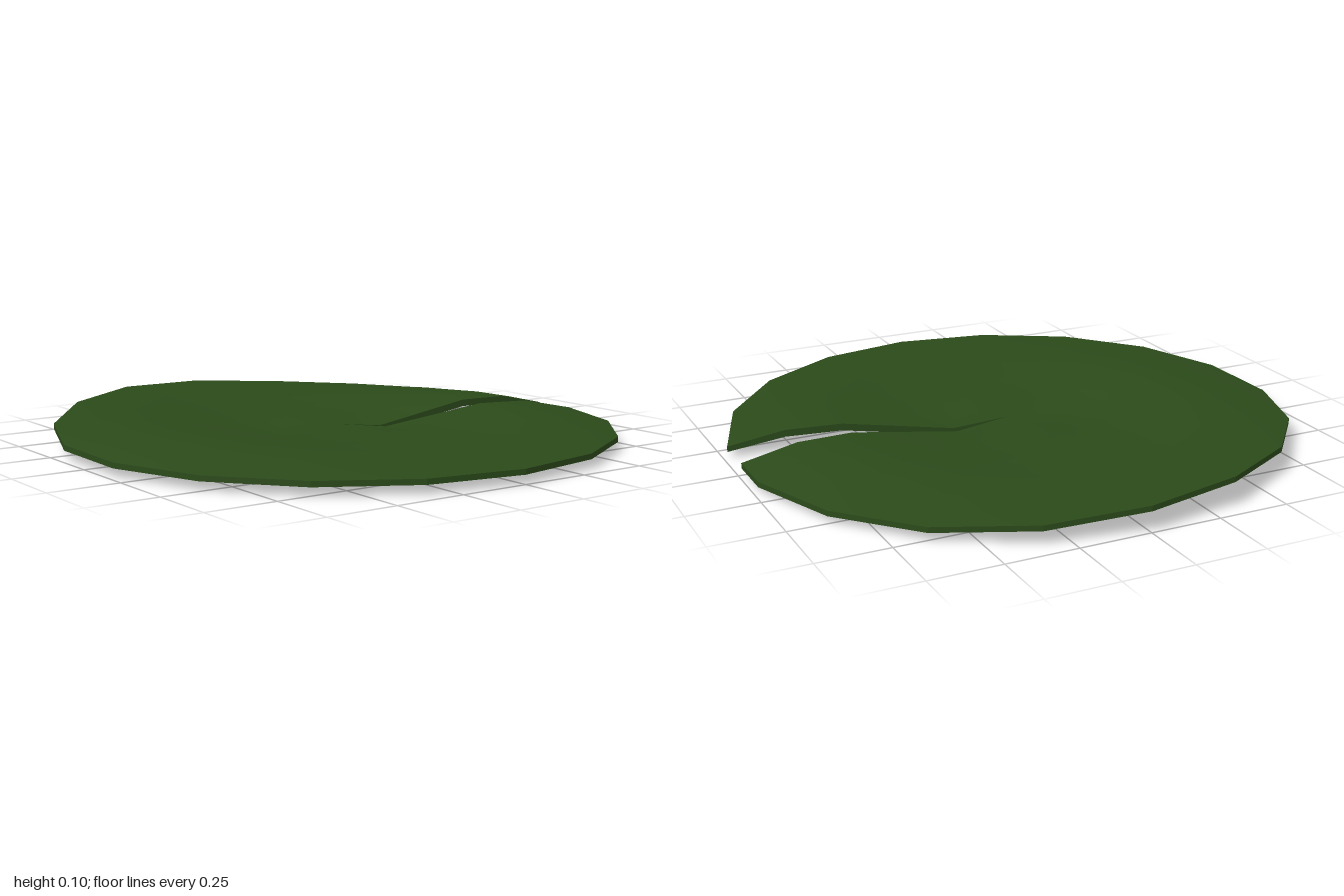
import * as THREE from 'three';
import { mergeVertices } from 'three/addons/utils/BufferGeometryUtils.js';

const RINGS = 5;
const COLS = 18;
const RAD = Math.PI / 180;

// Column 0 is one lip of the slit, the last column is the other lip
const angleOf = (j) => (j < COLS ? 280 + 20 * j : 630.5) * RAD;

// Gently waved leaf: dips close to the middle, swells further out, curled rim on one side
function topHeight(i, a) {
  const s = Math.sin(a) ** 2;
  const curl = Math.max(0, Math.cos(a - 160 * RAD)) ** 4;
  const back = Math.max(0, -Math.sin(a)) ** 4;
  return [
    0.055,
    0.055 - 0.025 * s,
    0.055 + 0.005 * s,
    0.06 + 0.03 * s,
    0.065 + 0.022 * s + 0.02 * curl,
    0.055 + 0.052 * curl - 0.01 * back,
  ][i];
}

function point(i, j, under) {
  const a = angleOf(j);
  const r = (i / RINGS) * (j === COLS ? 0.985 : 1);
  const thickness = i === RINGS ? 0.019 : 0.025;
  const y = topHeight(i, a) - (under ? thickness : 0);
  return new THREE.Vector3(r * Math.cos(a), y, r * Math.sin(a));
}

function geometryFrom(points, smooth) {
  let g = new THREE.BufferGeometry().setFromPoints(points);
  if (smooth) g = mergeVertices(g, 1e-5);
  g.computeVertexNormals();
  return g;
}

// One face of the leaf as a polar grid
function leafFace(under) {
  const pts = [];
  const tri = (a, b, c) => pts.push(...(under ? [a, c, b] : [a, b, c]));
  for (let j = 0; j < COLS; j++) {
    for (let i = 0; i < RINGS; i++) {
      const a = point(i, j, under), b = point(i + 1, j, under);
      const c = point(i + 1, j + 1, under), d = point(i, j + 1, under);
      tri(a, c, b);
      if (i > 0) tri(a, d, c);
    }
  }
  return geometryFrom(pts, true);
}

// Thin wall running out along one lip, round the rim and back along the other lip
function leafEdge() {
  const path = [];
  for (let i = 0; i < RINGS; i++) path.push([i, 0]);
  for (let j = 0; j <= COLS; j++) path.push([RINGS, j]);
  for (let i = RINGS - 1; i >= 0; i--) path.push([i, COLS]);
  const pts = [];
  for (let k = 0; k < path.length - 1; k++) {
    const [a, b] = [path[k], path[k + 1]];
    const aTop = point(...a, false), aLow = point(...a, true);
    const bTop = point(...b, false), bLow = point(...b, true);
    pts.push(aLow, aTop, bTop, aLow, bTop, bLow);
  }
  return geometryFrom(pts, false);
}

export function createModel() {
  const group = new THREE.Group();
  group.name = 'lilyPad';
  const material = new THREE.MeshStandardMaterial({ color: 0x2b4a1a, side: THREE.DoubleSide });
  const add = (name, geometry) => {
    const mesh = new THREE.Mesh(geometry, material);
    mesh.name = name;
    group.add(mesh);
  };

  add('leafTop', leafFace(false));
  add('leafUnderside', leafFace(true));
  add('leafEdge', leafEdge());

  // Small web closing the bottom of the slit near the middle
  add('slitWeb', geometryFrom([point(0, 0, true), point(1, 0, true), point(1, COLS, true)], false));

  return group;
}
